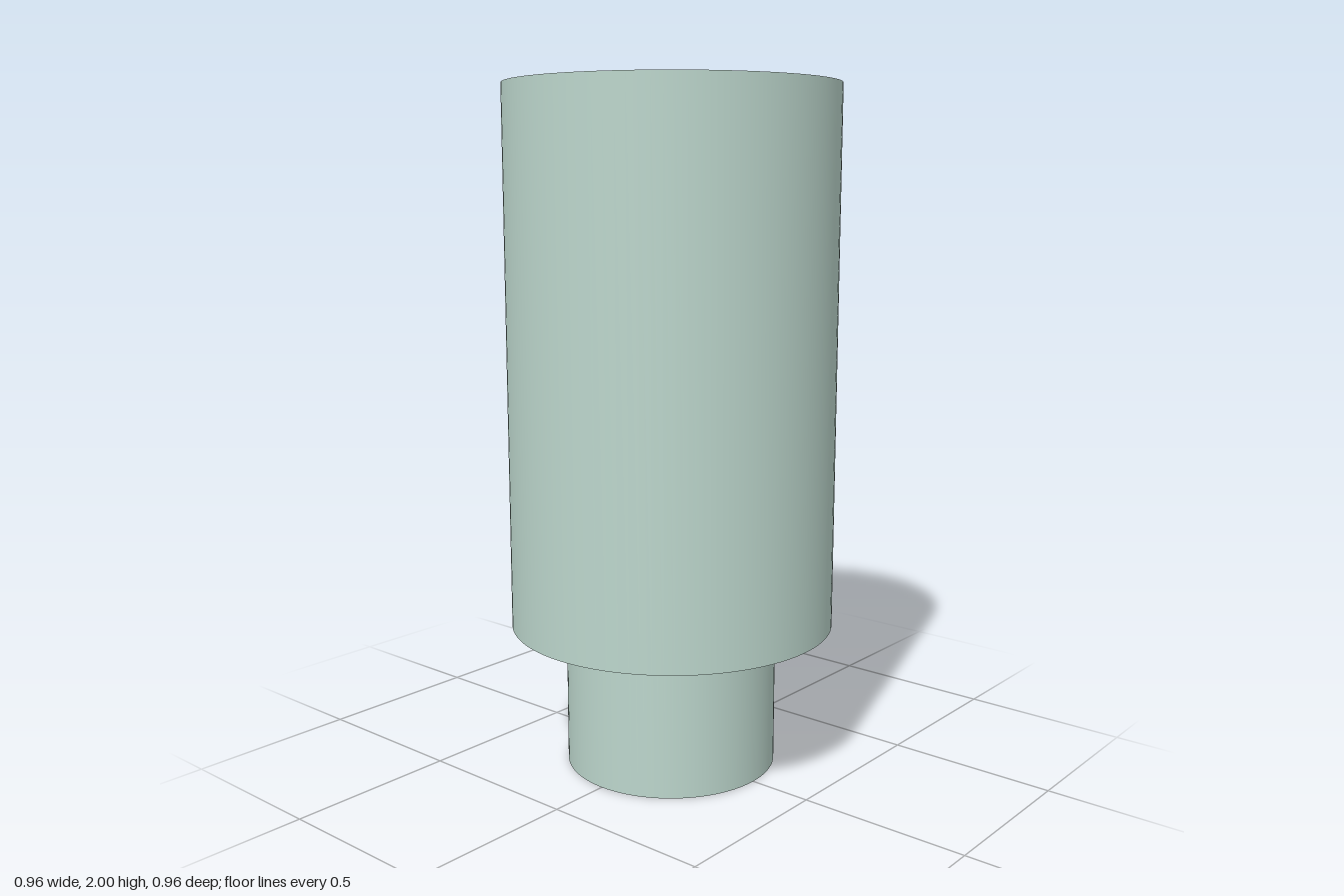
import * as THREE from 'three';
import { toCreasedNormals } from 'three/addons/utils/BufferGeometryUtils.js';

const material = new THREE.MeshStandardMaterial({ color: 0xbcd6cc });

// Revolve a [radius, y] profile, keeping its corners sharp
function turned(name, profile) {
  const points = profile.map(([r, y]) => new THREE.Vector2(r, y));
  const geometry = toCreasedNormals(new THREE.LatheGeometry(points, 96), Math.PI / 6);
  const mesh = new THREE.Mesh(geometry, material);
  mesh.name = name;
  return mesh;
}

export function createModel() {
  const group = new THREE.Group();
  group.name = 'sleeveAndPin';

  // Outer tube, open right through
  const sleeve = turned('sleeve', [
    [0.32, 0.43], [0.479, 0.43], [0.479, 2], [0.32, 2], [0.32, 0.43],
  ]);

  // Inner pin, flush with the top of the sleeve, with a blind bore from below
  const bore = 0.076, boreDepth = 0.43;
  const pin = turned('pin', [
    [0, boreDepth], [bore, boreDepth], [bore, 0], [0.314, 0], [0.314, 2], [0, 2],
  ]);
  pin.position.set(-0.002, 0, -0.002); // sits slightly off centre in the sleeve

  group.add(sleeve, pin);
  return group;
}
